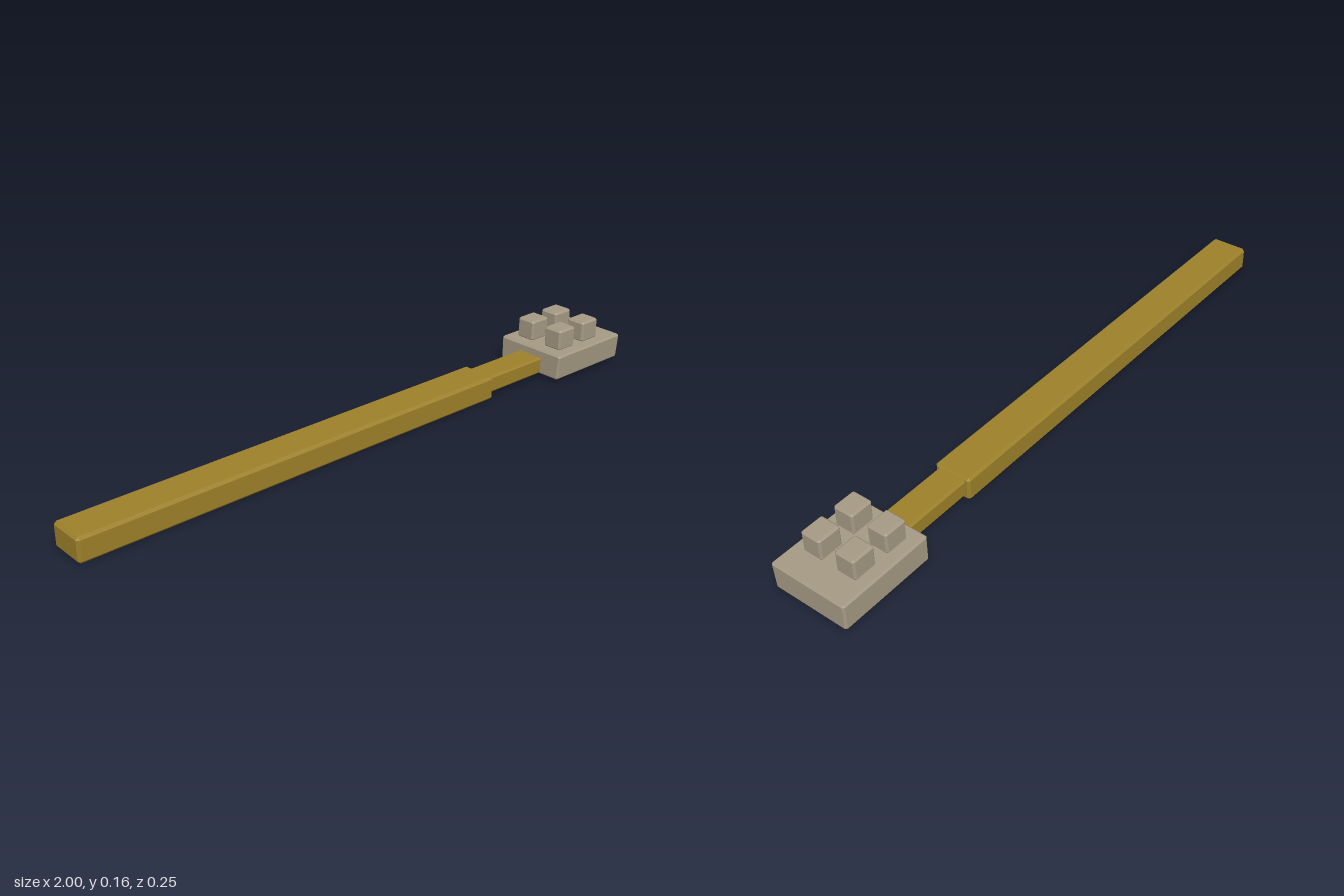
import * as THREE from 'three';
import { ConvexGeometry } from 'three/addons/geometries/ConvexGeometry.js';

// Box with chamfered edges between two corners; taper pulls the +z side in at the bottom
function chamferBox(min, max, c, taper = 0) {
  const centre = min.map((v, i) => (v + max[i]) / 2);
  const half = max.map((v, i) => (v - min[i]) / 2);
  const points = [];
  for (const sx of [-1, 1]) for (const sy of [-1, 1]) for (const sz of [-1, 1]) {
    const sign = [sx, sy, sz];
    // each corner becomes three points, one on each adjoining face
    for (let face = 0; face < 3; face++) {
      const p = sign.map((s, i) => centre[i] + s * (half[i] - (i === face ? 0 : c)));
      if (sz > 0) p[2] -= taper * (max[1] - p[1]) / (max[1] - min[1]);
      points.push(new THREE.Vector3(...p));
    }
  }
  return new ConvexGeometry(points);
}

export function createModel() {
  const group = new THREE.Group();
  const wood = new THREE.MeshStandardMaterial({ color: 0x9c8029 });
  wood.name = 'ochre wood';
  const stone = new THREE.MeshStandardMaterial({ color: 0xa59983 });
  stone.name = 'grey stone';
  wood.flatShading = stone.flatShading = true;

  const add = (name, material, min, max, chamfer, taper) => {
    const mesh = new THREE.Mesh(chamferBox(min, max, chamfer, taper), material);
    mesh.name = name;
    group.add(mesh);
  };

  // Long grip and the thinner neck joining it to the head
  add('handle', wood, [-1, 0, -0.06], [0.462, 0.076, 0.06], 0.008);
  add('neck', wood, [0.44, 0.014, -0.047], [0.72, 0.069, 0.046], 0.006);

  // Block head with four studs on top
  add('head', stone, [0.696, 0.012, -0.124], [0.998, 0.096, 0.125], 0.006, 0.007);
  for (const x of [0.77, 0.883]) for (const z of [-0.057, 0.057]) {
    add('stud', stone, [x - 0.037, 0.094, z - 0.033], [x + 0.037, 0.162, z + 0.033], 0.006);
  }
  return group;
}
